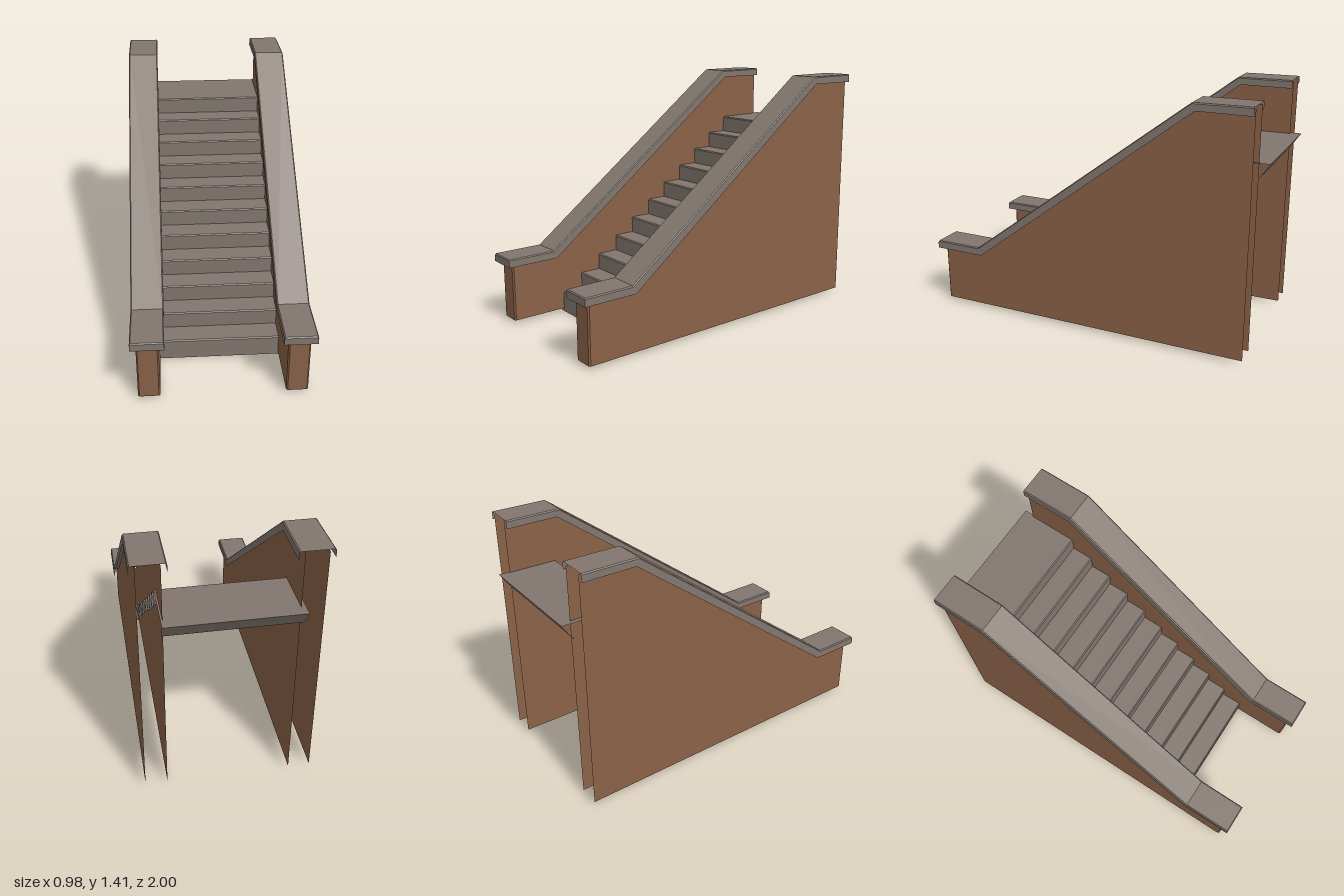
import * as THREE from 'three';

const stone = new THREE.MeshStandardMaterial({ color: 0x82776f, side: THREE.DoubleSide });
stone.name = 'stone grey';
const brown = new THREE.MeshStandardMaterial({ color: 0x8a6248, side: THREE.DoubleSide });
brown.name = 'wall brown';

// Sheet through a list of open cross-sections, each a list of [x, y, z]
function sheet(rings, closeFirst = false) {
  const pos = [];
  for (let i = 0; i < rings.length - 1; i++) {
    const a = rings[i], b = rings[i + 1];
    for (let j = 0; j < a.length - 1; j++) {
      pos.push(...a[j], ...a[j + 1], ...b[j + 1], ...a[j], ...b[j + 1], ...b[j]);
    }
  }
  if (closeFirst) {
    const r = rings[0];
    for (let j = 1; j < r.length - 1; j++) pos.push(...r[0], ...r[j + 1], ...r[j]);
  }
  const g = new THREE.BufferGeometry();
  g.setAttribute('position', new THREE.Float32BufferAttribute(pos, 3));
  g.computeVertexNormals();
  return g;
}

function part(name, geometry, material) {
  const m = new THREE.Mesh(geometry, material);
  m.name = name;
  return m;
}

// Folded ribbon of risers and treads with bevelled nosings
function stairs() {
  const steps = 11, rise = 0.097, run = 0.129, first = 0.122, bevel = 0.006;
  const profile = [[0.635, 0]]; // [z, y]
  for (let i = 0; i < steps; i++) {
    const z = 0.635 - run * i, y = first + rise * i;
    profile.push([z, y - bevel], [z - bevel, y]);
    if (i < steps - 1) profile.push([z - run, y]);
  }
  // top landing and its sloping underside lip
  profile.push([-1, 1.095], [-0.935, 1.0]);
  return sheet(profile.map(([z, y]) => [[-0.365, y, z], [0.35, y, z]]));
}

// Hollow side wall, open at the back and underneath
function wall(s) {
  const lo = 0.34, hi = 0.46, base = 0.02, low = 0.39, high = 1.395;
  const plan = [ // [x, z, top]
    [lo, -0.94, high], [lo, -0.625, high], [lo, 0.705, low], [lo, 0.957, low],
    [lo + 0.008, 0.965, low], [hi - 0.008, 0.965, low],
    [hi, 0.957, low], [hi, 0.705, low], [hi, -0.625, high], [hi, -0.94, high],
  ];
  return sheet(plan.map(([x, z, top]) => [[s * x, base, z], [s * x, top, z]]));
}

// Channel-shaped coping following the slope, open below and at the back
function coping(s) {
  const lo = 0.31, hi = 0.49, b = 0.006;
  const path = [ // [top z, top y, skirt z, skirt y]
    [1, 0.396, 1, 0.355], [0.994, 0.402, 0.994, 0.355],
    [0.708, 0.402, 0.69, 0.355], [-0.622, 1.405, -0.64, 1.362],
    [-0.94, 1.408, -0.94, 1.362],
  ];
  const rings = path.map(([z, y, sz, sy]) => [
    [s * lo, sy, sz], [s * lo, y - b, z], [s * (lo + b), y, z],
    [s * (hi - b), y, z], [s * hi, y - b, z], [s * hi, sy, sz],
  ]);
  return sheet(rings, true);
}

export function createModel() {
  const model = new THREE.Group();
  model.name = 'staircase';
  model.add(part('steps', stairs(), stone));
  for (const [side, s] of [['left', 1], ['right', -1]]) {
    model.add(part(side + 'Wall', wall(s), brown));
    model.add(part(side + 'Coping', coping(s), stone));
  }
  return model;
}
